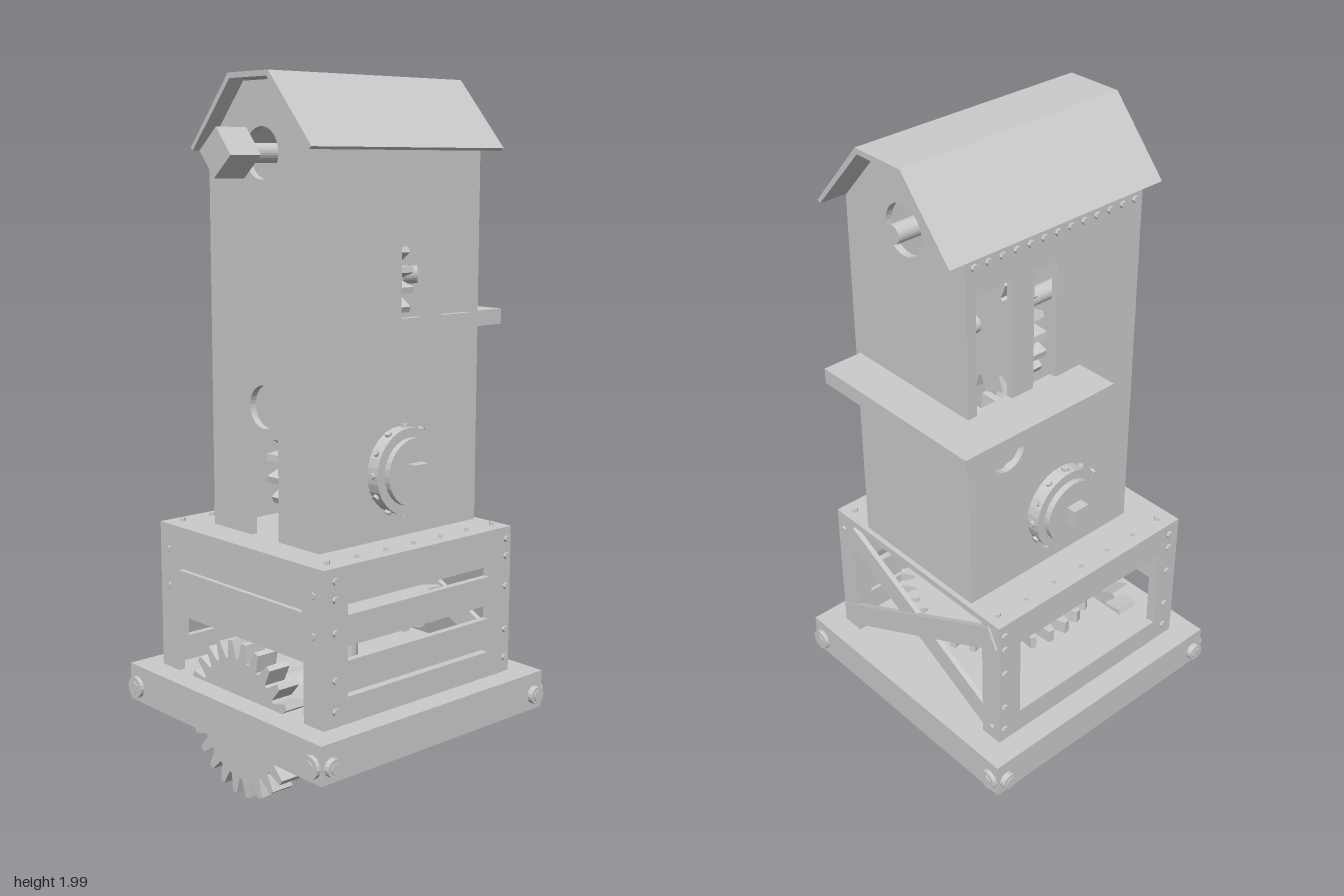
import * as THREE from 'three';

const mat = new THREE.MeshStandardMaterial({ color: 0xcccccc, flatShading: true });
const thin = 0.02;

export function createModel() {
  const root = new THREE.Group();

  const add = (name, geo, x = 0, y = 0, z = 0, parent = root) => {
    const m = new THREE.Mesh(geo, mat);
    m.name = name;
    m.position.set(x, y, z);
    parent.add(m);
    return m;
  };
  // box given by its limits
  const block = (name, x0, x1, y0, y1, z0, z1) =>
    add(name, new THREE.BoxGeometry(x1 - x0, y1 - y0, z1 - z0), (x0 + x1) / 2, (y0 + y1) / 2, (z0 + z1) / 2);
  // cylinder lying along the chosen axis
  const rod = (name, axis, r, len, x, y, z, sides = 24) => {
    const g = new THREE.CylinderGeometry(r, r, len, sides);
    if (axis === 'x') g.rotateZ(Math.PI / 2);
    if (axis === 'z') g.rotateX(Math.PI / 2);
    return add(name, g, x, y, z);
  };
  const path = (pts) => new THREE.Path(pts.map((p) => new THREE.Vector2(...p)));
  const rect = (a0, a1, y0, y1) => path([[a0, y0], [a0, y1], [a1, y1], [a1, y0]]);
  const circle = (a, y, r) => new THREE.Path().absarc(a, y, r, 0, Math.PI * 2, true);
  const panel = (outline, holes, depth = thin) => {
    const s = new THREE.Shape(outline.map((p) => new THREE.Vector2(...p)));
    s.holes.push(...holes);
    return new THREE.ExtrudeGeometry(s, { depth, bevelEnabled: false, curveSegments: 16 });
  };
  const box4 = (a0, a1, y0, y1) => [[a0, y0], [a1, y0], [a1, y1], [a0, y1]];
  // side wall drawn in (z, y), with its outer face at x
  const sideWall = (name, x, outline, holes) =>
    add(name, panel(outline, holes).rotateY(-Math.PI / 2), x > 0 ? x : x + thin, 0, 0);
  // toothed wheel centred on its own axis
  const gear = (name, axis, r, root0, teeth, width, x, y, z) => {
    const pts = [];
    for (let i = 0; i < teeth; i++) {
      for (const [f, rad] of [[0, root0], [0.22, root0], [0.46, r], [0.76, r]]) {
        const a = ((i + f) / teeth) * Math.PI * 2;
        pts.push([Math.cos(a) * rad, Math.sin(a) * rad]);
      }
    }
    const g = panel(pts, [], width).translate(0, 0, -width / 2);
    if (axis === 'x') g.rotateY(Math.PI / 2);
    if (axis === 'y') g.rotateX(Math.PI / 2);
    return add(name, g, x, y, z);
  };

  // ---- Base slab with corner bolts
  block('baseSlab', -0.43, 0.43, 0.19, 0.3, -0.42, 0.44);
  block('underPlate', -0.0875, 0.0875, 0.16, 0.19, -0.13, 0.045);
  for (const s of [-1, 1]) {
    for (const e of [-1, 1]) {
      const zf = e > 0 ? 0.44 : -0.42;
      rod('slabBolt', 'z', 0.032, 0.024, s * 0.395, 0.235, zf, 16);
      rod('slabBoltCap', 'z', 0.02, 0.03, s * 0.395, 0.235, zf, 6);
      rod('slabBolt', 'x', 0.026, 0.034, s * 0.43, 0.235, 0.01 + e * 0.395, 16);
      rod('slabBoltCap', 'x', 0.017, 0.04, s * 0.43, 0.235, 0.01 + e * 0.395, 6);
    }
  }

  // ---- Crate: top plate, boarded front and right side, open left side
  block('crateTop', -0.36, 0.36, 0.715, 0.735, -0.35, 0.37);
  add('crateFront', panel(
    [[-0.36, 0.3], [-0.28, 0.3], [-0.28, 0.47], [0.28, 0.47], [0.28, 0.3], [0.36, 0.3], [0.36, 0.715], [-0.36, 0.715]],
    [rect(-0.275, 0.275, 0.605, 0.612)]), 0, 0, 0.35);
  sideWall('crateBoardedSide', 0.36, box4(-0.35, 0.35, 0.3, 0.715), [
    rect(-0.26, 0.285, 0.6, 0.63), rect(-0.26, 0.285, 0.475, 0.515), rect(-0.26, 0.285, 0.375, 0.387)]);
  sideWall('crateOpenSide', -0.36, box4(-0.35, 0.35, 0.3, 0.715), [rect(-0.27, 0.29, 0.375, 0.64)]);

  // ---- Crate back: posts with crossed braces
  for (const s of [-1, 1]) {
    block('backPost', s * 0.325 - 0.035, s * 0.325 + 0.035, 0.3, 0.715, -0.35, -0.325);
    const brace = add('crossBrace', new THREE.BoxGeometry(0.76, 0.07, 0.016), 0, 0.515, -0.345 + s * 0.004);
    brace.rotation.z = s * Math.atan2(0.34, 0.66);
  }

  // ---- Rivets on the crate
  for (const s of [-1, 1]) {
    for (let i = 0; i < 7; i++) rod('topRivet', 'y', 0.01, 0.02, s * 0.318, 0.735, -0.315 + i * 0.106, 4);
    for (const y of [0.345, 0.43, 0.56, 0.65, 0.7]) {
      for (const z of [-0.33, 0.33]) rod('sideRivet', 'x', 0.01, 0.016, s * 0.36, y, z, 6);
    }
    for (const y of [0.345, 0.68]) rod('backRivet', 'z', 0.01, 0.016, s * 0.33, y, -0.35, 6);
    for (const y of [0.55, 0.66]) rod('frontRivet', 'z', 0.01, 0.01, s * 0.32, y, 0.37, 6);
  }

  // ---- Machinery inside the crate
  gear('frontGear', 'z', 0.225, 0.175, 24, 0.07, 0, 0.23, 0.335);
  rod('frontGearShaft', 'z', 0.09, 0.4, 0, 0.23, 0.1);
  gear('flatGear', 'y', 0.29, 0.245, 30, 0.04, 0, 0.495, -0.04);
  rod('uprightShaft', 'y', 0.032, 0.56, 0, 0.46, -0.04);

  // ---- Tower shell
  const gable = [[-0.23, 0.735], [0.23, 0.735], [0.23, 1.805], [0.075, 1.98], [-0.075, 1.98], [-0.23, 1.805]];
  const doorway = [[-0.23, 0.735], [-0.06, 0.735], [-0.06, 1.02], [0.06, 1.02], [0.06, 0.735], ...gable.slice(1)];
  add('towerFront', panel(doorway, [circle(0, 1.105, 0.06), circle(0, 1.79, 0.07)]), 0, 0, 0.25);
  add('towerBack', panel(gable, [circle(0, 1.79, 0.07)]), 0, 0, -0.335);
  const windows = () => [rect(-0.11, -0.03, 1.345, 1.69), rect(-0.305, -0.185, 1.345, 1.69)];
  const wall = box4(-0.315, 0.25, 0.735, 1.805);
  sideWall('towerRightWall', 0.23, wall, windows());
  sideWall('towerLeftWall', -0.23, wall, [...windows(), circle(-0.2, 1.18, 0.06)]);
  for (let i = 0; i < 13; i++) rod('eaveRivet', 'x', 0.01, 0.016, -0.23, 1.77, -0.31 + i * 0.046, 6);

  // ---- Roof: bent sheet with a flat ridge
  const roof = [[-0.255, 1.805], [-0.084, 2], [0.084, 2], [0.255, 1.805],
    [0.245, 1.798], [0.077, 1.985], [-0.077, 1.985], [-0.245, 1.798]];
  add('roof', panel(roof.reverse(), [], 0.72), 0, 0, -0.405);

  // ---- Balcony wrapping the back corner
  block('backBalcony', -0.358, 0.212, 1.3, 1.345, -0.455, -0.335);
  block('sideBalcony', -0.358, -0.23, 1.3, 1.345, -0.335, 0.06);

  // ---- Top shaft with its square head, and the gears below it
  rod('topShaft', 'z', 0.026, 0.7, 0, 1.79, -0.02);
  const head = add('squareHead', new THREE.BoxGeometry(0.094, 0.094, 0.1), 0, 1.79, 0.375);
  head.rotation.z = 0.7;
  gear('topGear', 'z', 0.165, 0.125, 18, 0.075, 0, 1.79, -0.07);
  gear('towerGear', 'z', 0.2, 0.155, 22, 0.075, 0, 1.44, -0.07);
  rod('towerGearShaft', 'z', 0.026, 0.57, 0, 1.44, -0.032);

  // ---- Cross shaft with its gear and a hub wheel on each side
  const hy = 0.93, hz = -0.015;
  rod('crossShaft', 'x', 0.035, 0.5, 0, hy, hz);
  gear('crossGear', 'x', 0.245, 0.195, 24, 0.08, 0, hy, hz);
  for (const s of [-1, 1]) {
    rod('hubCollar', 'x', 0.1, 0.03, s * 0.24, hy, hz, 32);
    rod('hubRim', 'x', 0.122, 0.04, s * 0.262, hy, hz, 32);
    rod('hubDisc', 'x', 0.095, 0.03, s * 0.285, hy, hz, 32);
    block('hubSquare', s * 0.3 - 0.03, s * 0.3 + 0.03, hy - 0.027, hy + 0.027, hz - 0.027, hz + 0.027);
    for (let i = 0; i < 12; i++) {
      const a = (i / 12) * Math.PI * 2;
      const stud = rod('rimStud', 'y', 0.01, 0.016, s * 0.262, hy + Math.cos(a) * 0.122, hz + Math.sin(a) * 0.122, 8);
      stud.rotation.x = a;
    }
  }

  root.position.x = -0.006;
  const model = new THREE.Group();
  model.name = 'gearTower';
  model.add(root);
  return model;
}
